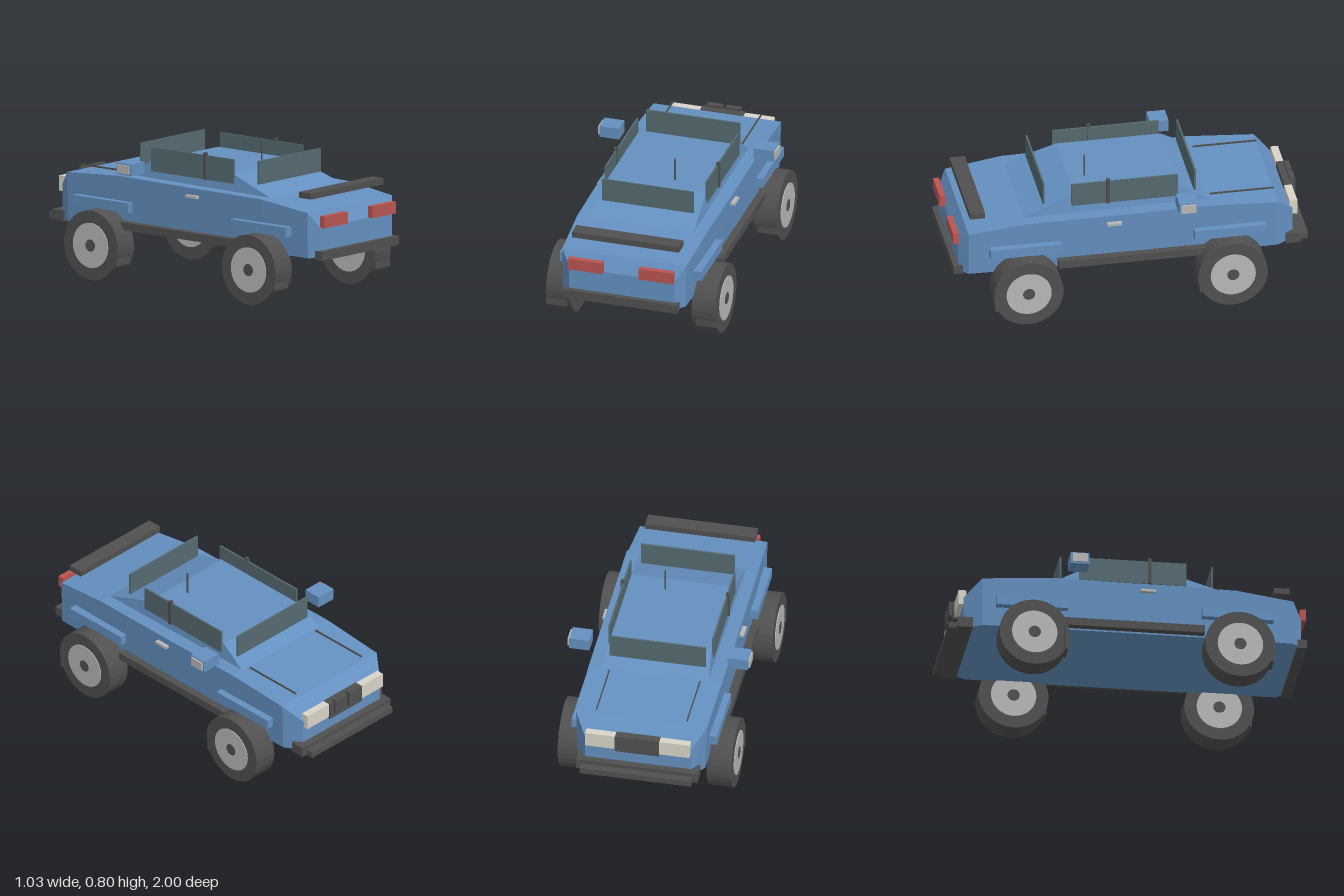
import * as THREE from 'three';

const mat = (color, flatShading = true) => new THREE.MeshStandardMaterial({ color, flatShading });
const BLUE = mat(0x6490c0), DARK = mat(0x505050), GLASS = mat(0x556a70);
const RED = mat(0xb85450), PALE = mat(0xd8d4c8), METAL = mat(0xb8b8b8);

export function createModel() {
  const car = new THREE.Group();
  car.name = 'car';

  const add = (name, geometry, material, parent = car) => {
    const mesh = new THREE.Mesh(geometry, material);
    mesh.name = name;
    parent.add(mesh);
    return mesh;
  };

  // Box given by its limits on each axis
  const box = (name, material, [x0, x1], [y0, y1], [z0, z1]) => {
    const m = add(name, new THREE.BoxGeometry(x1 - x0, y1 - y0, z1 - z0), material);
    m.position.set((x0 + x1) / 2, (y0 + y1) / 2, (z0 + z1) / 2);
    return m;
  };

  // The same box on both sides of the car
  const pair = (name, material, [x0, x1], y, z) => {
    box(name + 'Left', material, [x0, x1], y, z);
    box(name + 'Right', material, [-x1, -x0], y, z);
  };

  // Faceted hull through four-cornered sections: [z, half bottom, half top, bottom y, top y]
  const loft = (stations) => {
    const rings = stations.map(([z, hb, ht, yb, yt]) =>
      [[-hb, yb, z], [hb, yb, z], [ht, yt, z], [-ht, yt, z]]);
    const pos = [];
    const quad = (a, b, c, d) => pos.push(...a, ...b, ...c, ...a, ...c, ...d);
    for (let i = 0; i < rings.length - 1; i++) {
      for (let j = 0; j < 4; j++) {
        const k = (j + 1) % 4;
        quad(rings[i][j], rings[i + 1][j], rings[i + 1][k], rings[i][k]);
      }
    }
    quad(...rings[0]);
    quad(...rings[rings.length - 1].slice().reverse());
    const g = new THREE.BufferGeometry();
    g.setAttribute('position', new THREE.Float32BufferAttribute(pos, 3));
    g.computeVertexNormals();
    return g;
  };

  // Main body and low cabin
  add('body', loft([
    [0.97, 0.305, 0.305, 0.28, 0.45],
    [0.92, 0.355, 0.36, 0.28, 0.535],
    [0.6, 0.363, 0.373, 0.28, 0.575],
    [0, 0.365, 0.378, 0.28, 0.58],
    [-0.43, 0.365, 0.377, 0.28, 0.585],
    [-0.82, 0.36, 0.37, 0.28, 0.56],
    [-0.915, 0.3, 0.3, 0.28, 0.47],
  ]), BLUE);
  add('cabin', loft([
    [0.6, 0.303, 0.303, 0.56, 0.575],
    [0.31, 0.303, 0.285, 0.56, 0.675],
    [-0.28, 0.303, 0.285, 0.56, 0.675],
    [-0.44, 0.303, 0.303, 0.56, 0.583],
  ]), BLUE);

  // Windows and pillars
  box('rearWindow', GLASS, [-0.265, 0.265], [0.63, 0.762], [0.475, 0.485]);
  box('windshield', GLASS, [-0.272, 0.272], [0.63, 0.764], [-0.375, -0.365]);
  pair('sideWindow', GLASS, [0.288, 0.298], [0.62, 0.757], [-0.27, 0.33]);
  pair('doorPillar', DARK, [0.288, 0.308], [0.62, 0.772], [0.115, 0.135]);

  // Aerial and spoiler
  const aerial = add('aerial', new THREE.CylinderGeometry(0.005, 0.005, 0.135, 8), DARK);
  aerial.position.set(0.075, 0.737, 0.217);
  box('spoiler', DARK, [-0.31, 0.31], [0.602, 0.636], [0.818, 0.904]);

  // Tail lights and bumpers
  pair('tailLight', RED, [0.105, 0.305], [0.45, 0.516], [0.965, 0.998]);
  box('rearBumper', DARK, [-0.328, 0.328], [0.27, 0.321], [0.945, 1]);
  box('frontBumper', DARK, [-0.343, 0.343], [0.272, 0.332], [-0.955, -0.87]);
  box('frontBumperLip', DARK, [-0.315, 0.315], [0.275, 0.31], [-1, -0.95]);

  // Headlights and grille
  pair('headlight', PALE, [0.12, 0.295], [0.43, 0.516], [-0.943, -0.9]);
  box('grillePanel', DARK, [-0.125, 0.125], [0.42, 0.52], [-0.95, -0.9]);
  pair('grille', DARK, [0.01, 0.098], [0.45, 0.536], [-0.968, -0.938]);

  // Hood creases, trim and mirrors
  pair('hoodCrease', DARK, [0.253, 0.259], [0.584, 0.593], [-0.815, -0.455]);
  pair('sill', DARK, [0.34, 0.41], [0.29, 0.335], [-0.41, 0.42]);
  pair('doorHandle', METAL, [0.37, 0.4], [0.526, 0.541], [0.063, 0.145]);
  pair('mirror', BLUE, [0.39, 0.505], [0.623, 0.69], [-0.345, -0.24]);
  pair('mirrorTrim', METAL, [0.5, 0.515], [0.632, 0.682], [-0.335, -0.25]);

  // Wheels with fender flares and mud flaps
  const disc = (r, w) => new THREE.CylinderGeometry(r, r, w, 32).rotateZ(Math.PI / 2);
  const tireMat = mat(0x505050);
  for (const [end, z] of [['rear', 0.605], ['front', -0.545]]) {
    pair(end + 'FenderFlare', BLUE, [0.35, 0.41], [0.39, 0.446], [z - 0.2, z + 0.2]);
    pair(end + 'MudFlap', DARK, [0.375, 0.493], [0.102, 0.25], [z + 0.168, z + 0.188]);
    for (const side of [1, -1]) {
      const wheel = new THREE.Group();
      wheel.name = end + 'Wheel' + (side > 0 ? 'Left' : 'Right');
      wheel.position.set(side * 0.421, 0.196, z);
      add('tire', disc(0.196, 0.139), tireMat, wheel);
      add('rim', disc(0.127, 0.148), METAL, wheel);
      add('hub', disc(0.034, 0.152), DARK, wheel);
      car.add(wheel);
    }
  }

  return car;
}
